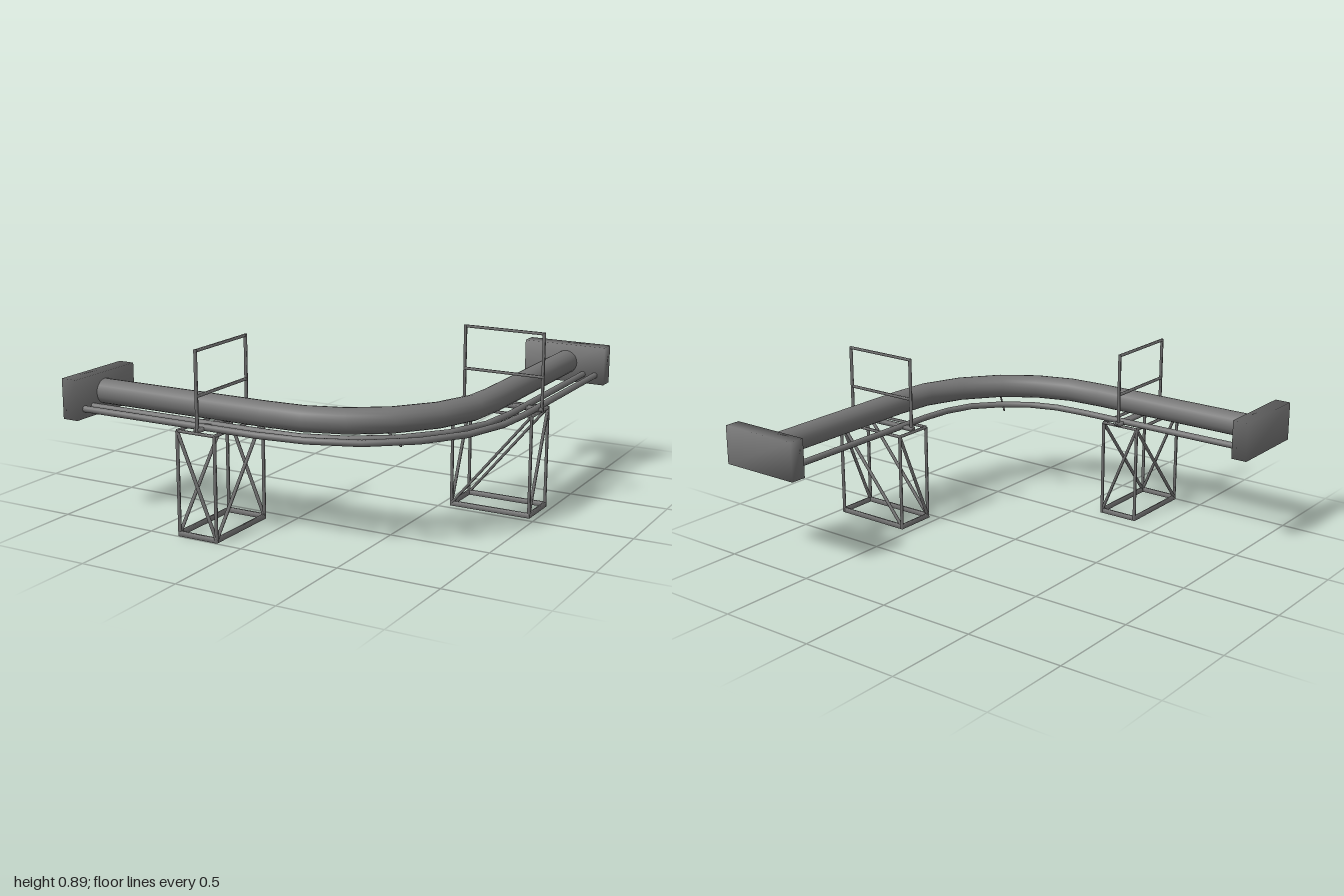
import * as THREE from 'three';
import { mergeVertices } from 'three/addons/utils/BufferGeometryUtils.js';

const material = new THREE.MeshStandardMaterial({ color: 0x747474 });
const V = (x, y, z) => new THREE.Vector3(x, y, z);

// Curve through straight runs, with one tube ring at each point
class Polyline extends THREE.Curve {
  constructor(points) { super(); this.points = points; }
  getPoint(t) {
    const n = this.points.length - 1;
    const s = THREE.MathUtils.clamp(t, 0, 1) * n;
    const i = Math.min(Math.floor(s), n - 1);
    return this.points[i].clone().lerp(this.points[i + 1], s - i);
  }
  getPointAt(t) { return this.getPoint(t); }
  getTangentAt(t) {
    const n = this.points.length - 1, i = Math.round(t * n), p = this.points;
    const tangent = V(0, 0, 0);
    if (i > 0) tangent.add(p[i].clone().sub(p[i - 1]).normalize());
    if (i < n) tangent.add(p[i + 1].clone().sub(p[i]).normalize());
    return tangent.normalize();
  }
}

function pipe(name, y, radius, sides, plan) {
  const points = plan.map(([x, z]) => V(x, y, z));
  const mesh = new THREE.Mesh(
    new THREE.TubeGeometry(new Polyline(points), points.length - 1, radius, sides), material);
  mesh.name = name;
  return mesh;
}

// Box with its corners welded, so it is shaded smoothly over the edges
function box(name, w, h, d, x, y, z) {
  const raw = new THREE.BoxGeometry(w, h, d);
  raw.deleteAttribute('normal');
  raw.deleteAttribute('uv');
  const geometry = mergeVertices(raw);
  geometry.computeVertexNormals();
  const mesh = new THREE.Mesh(geometry, material);
  mesh.name = name;
  mesh.position.set(x, y, z);
  return mesh;
}

// Straight square bar between two points
function bar(name, a, b, width = 0.012, height = width) {
  const mesh = box(name, width, height, a.distanceTo(b), 0, 0, 0);
  mesh.position.copy(a).add(b).multiplyScalar(0.5);
  mesh.lookAt(b);
  return mesh;
}

// Braced trestle with a hoop over the pipes.
// u runs along the pipes, v across them; at() maps them to x and z.
function trestle(name, at, u0, u1, v0, v1, hoopU, hoopV) {
  const group = new THREE.Group();
  group.name = name;
  const low = 0.012, high = 0.504;
  const add = (part, a, b, w, h) => group.add(bar(part, at(...a), at(...b), w, h));
  for (const u of [u0, u1]) {
    for (const v of [v0, v1]) add('leg', [u, 0, v], [u, high, v]);
    add('baseRail', [u, low, v0], [u, low, v1], 0.012, 0.024);
    add('topRail', [u, high, v0], [u, high, v1]);
    add('crossBrace', [u, low, v0], [u, high, v1]);
  }
  for (const v of [v0, v1]) {
    add('baseRail', [u0, low, v], [u1, low, v], 0.012, 0.024);
    add('topRail', [u0, high, v], [u1, high, v]);
    add('sideBrace', [u1, low, v], [u0, high, v]);
  }
  // Hoop and the beam that carries the pipes
  const [h0, h1] = hoopV;
  for (const v of hoopV) add('hoopPost', [hoopU, high, v], [hoopU, 0.89, v]);
  for (const y of [0.675, 0.884]) add('hoopRail', [hoopU, y, h0], [hoopU, y, h1]);
  add('pipeBeam', [hoopU, 0.518, h0 - 0.008], [hoopU, 0.518, h1 + 0.004], 0.034, 0.018);
  return group;
}

export function createModel() {
  const model = new THREE.Group();
  model.name = 'pipeElbow';

  // Main pipe and the three small ones beside it
  model.add(
    pipe('mainPipe', 0.58, 0.061, 20, [[-0.95, 0.782], [0, 0.782], [0.2, 0.77], [0.385, 0.71],
      [0.555, 0.595], [0.695, 0.42], [0.775, 0.22], [0.79, 0.02], [0.79, -0.95]]),
    pipe('innerPipe', 0.523, 0.016, 10, [[-0.95, 0.615], [0.02, 0.615], [0.18, 0.605], [0.32, 0.56],
      [0.46, 0.46], [0.56, 0.345], [0.61, 0.2], [0.625, 0.04], [0.625, -0.95]]),
    pipe('middlePipe', 0.523, 0.016, 10, [[-0.95, 0.875], [0.04, 0.875], [0.23, 0.865], [0.44, 0.795],
      [0.625, 0.67], [0.78, 0.48], [0.865, 0.26], [0.885, 0.04], [0.885, -0.95]]),
    pipe('outerPipe', 0.523, 0.016, 10, [[-0.95, 0.938], [0.05, 0.938], [0.29, 0.91], [0.525, 0.825],
      [0.725, 0.665], [0.865, 0.465], [0.935, 0.23], [0.95, 0.03], [0.95, -0.95]]));

  // End blocks
  model.add(
    box('rightEndBlock', 0.083, 0.198, 0.44, -0.9585, 0.575, 0.775),
    box('backEndBlock', 0.44, 0.198, 0.083, 0.78, 0.575, -0.9585));

  // Thin tie under the bend
  model.add(bar('bendTie', V(0.405, 0.508, 0.435), V(0.67, 0.508, 0.73), 0.008));

  // Trestles
  model.add(
    trestle('rightTrestle', (u, y, v) => V(u, y, v), -0.342, -0.138, 0.99, 0.587, -0.236, [0.576, 0.982]),
    trestle('backTrestle', (u, y, v) => V(v, y, u), -0.242, -0.038, 0.555, 0.964, -0.136, [0.568, 0.975]));

  return model;
}
